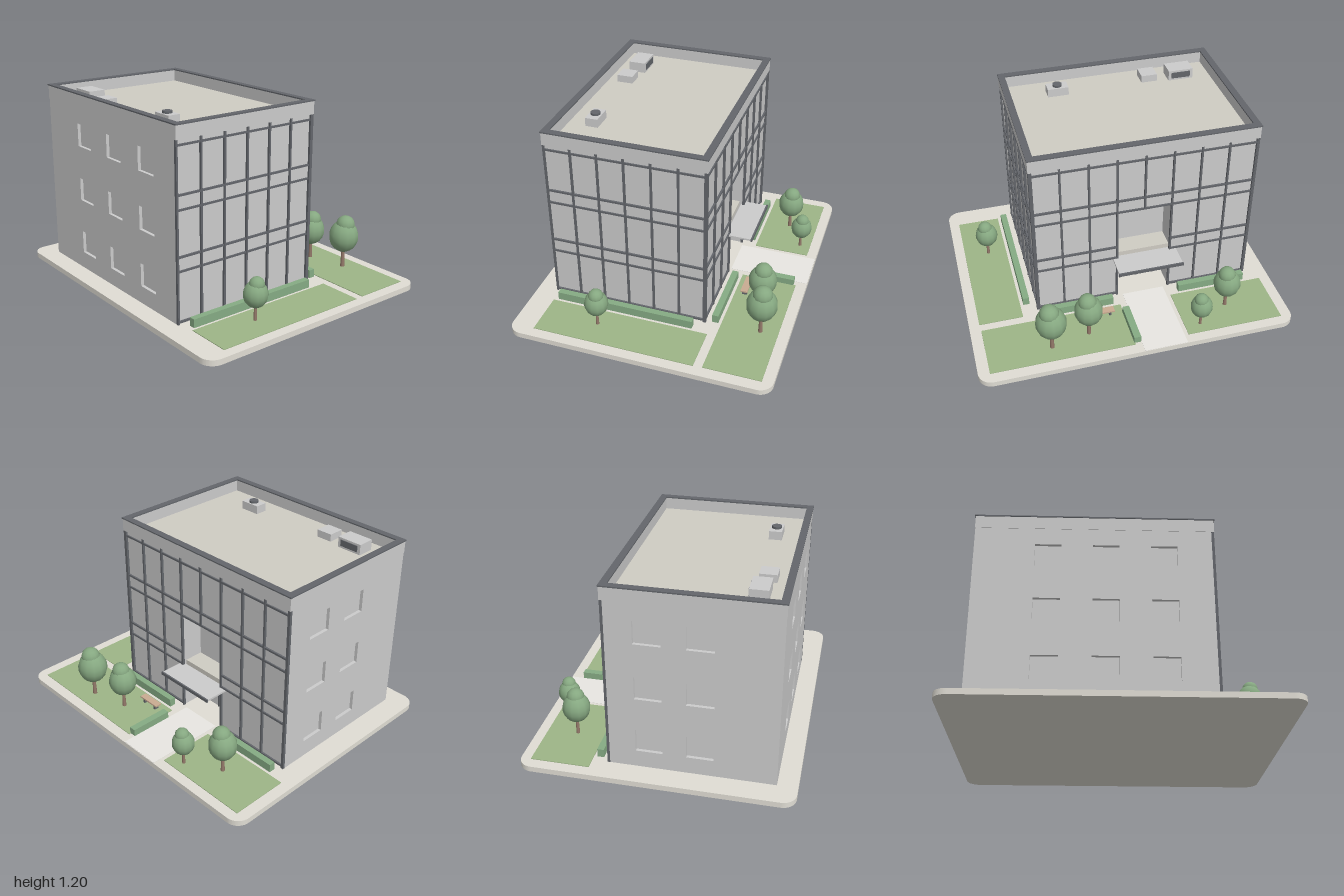
import * as THREE from 'three';

const mat = (color, extra = {}) => new THREE.MeshStandardMaterial({ color, ...extra });
const M = {
  grey: mat(0xcccccc), dark: mat(0x63666b), paving: mat(0xe0ddd4), path: mat(0xe8e6e2),
  roof: mat(0xcfccc3), lawn: mat(0x9db587), hedge: mat(0x86ab84), leaf: mat(0x86a881),
  trunk: mat(0x94796a), wood: mat(0xc9ab92),
};
const GROUND = 0.035, TOP = 1.12;
const X0 = -0.855, X1 = 0.555, Z0 = -0.305, Z1 = 0.7; // building footprint
const NX0 = -0.322, NX1 = 0.026, NZ = -0.145, NY = 0.715; // entrance recess

function add(parent, name, geo, material) {
  const m = new THREE.Mesh(geo, material);
  m.name = name;
  parent.add(m);
  return m;
}

// box given by its minimum and maximum on each axis
function box(parent, name, x0, x1, y0, y1, z0, z1, material = M.grey) {
  const m = add(parent, name, new THREE.BoxGeometry(x1 - x0, y1 - y0, z1 - z0), material);
  m.position.set((x0 + x1) / 2, (y0 + y1) / 2, (z0 + z1) / 2);
  return m;
}

function group(parent, name) {
  const g = new THREE.Group();
  g.name = name;
  parent.add(g);
  return g;
}

function rect(Type, x0, x1, y0, y1) {
  return new Type([[x0, y0], [x1, y0], [x1, y1], [x0, y1]].map(p => new THREE.Vector2(...p)));
}

// plan outline (x, -z) raised along y
function raisePlan(shape, y0, y1, curveSegments = 8) {
  const g = new THREE.ExtrudeGeometry(shape, { depth: y1 - y0, bevelEnabled: false, curveSegments });
  return g.rotateX(-Math.PI / 2).translate(0, y0, 0);
}

// wall with window holes, lying in the xy plane, outer face toward +z
function windowWall(u0, u1, columns, width) {
  const shape = rect(THREE.Shape, u0, u1, GROUND, TOP);
  for (const u of columns) for (const y of [0.145, 0.503, 0.86])
    shape.holes.push(rect(THREE.Path, u, u + width, y, y + 0.145));
  return new THREE.ExtrudeGeometry(shape, { depth: 0.02, bevelEnabled: false });
}

function buildSite(root) {
  const site = group(root, 'site');
  const w = 1, d = 0.823, r = 0.085, s = new THREE.Shape();
  s.absarc(w - r, d - r, r, 0, Math.PI / 2);
  s.absarc(-w + r, d - r, r, Math.PI / 2, Math.PI);
  s.absarc(-w + r, -d + r, r, Math.PI, Math.PI * 1.5);
  s.absarc(w - r, -d + r, r, Math.PI * 1.5, Math.PI * 2);
  add(site, 'pavedBase', raisePlan(s, 0, GROUND), M.paving);
  box(site, 'entrancePath', -0.285, -0.01, GROUND, 0.037, -0.82, -0.31, M.path);
  for (const [x0, x1, z0, z1] of [[-0.93, -0.31, -0.76, -0.4], [0.03, 0.93, -0.755, -0.4], [0.655, 0.935, -0.345, 0.675]])
    box(site, 'lawn', x0, x1, GROUND, 0.039, z0, z1, M.lawn);
  for (const [x0, x1, z0, z1, h] of [[-0.82, -0.37, -0.38, -0.34, 0.088], [0.07, 0.535, -0.38, -0.34, 0.088],
    [-0.008, 0.036, -0.74, -0.465, 0.08], [0.595, 0.635, -0.24, 0.65, 0.088]])
    box(site, 'hedge', x0, x1, GROUND, h, z0, z1, M.hedge);

  const bench = group(site, 'bench');
  box(bench, 'benchSeat', 0.09, 0.245, 0.07, 0.08, -0.485, -0.44, M.wood);
  for (const x of [0.11, 0.21]) box(bench, 'benchLeg', x, x + 0.014, GROUND, 0.07, -0.478, -0.447, M.dark);

  for (const [x, z, k] of [[-0.62, -0.57, 0.9], [-0.41, -0.69, 0.72], [0.285, -0.59, 0.93], [0.53, -0.645, 1], [0.775, 0.32, 0.77]]) {
    const tree = group(site, 'tree');
    tree.position.set(x, GROUND, z);
    tree.scale.setScalar(k);
    add(tree, 'trunk', new THREE.CylinderGeometry(0.009, 0.014, 0.16, 8), M.trunk).position.y = 0.08;
    const crown = add(tree, 'crown', new THREE.SphereGeometry(0.096, 12, 9), M.leaf);
    crown.scale.y = 1.1;
    crown.position.y = 0.215;
    add(tree, 'crownTop', new THREE.SphereGeometry(0.061, 12, 9), M.leaf).position.set(0.008, 0.294, -0.004);
  }
}

function buildBody(root) {
  const body = group(root, 'building');
  // glazed core: notched plan for the lower floors, plain above
  const x0 = X0 + 0.02, x1 = X1 - 0.014, z0 = Z0 + 0.014, z1 = Z1 - 0.02;
  const plan = new THREE.Shape([[x0, z1], [x1, z1], [x1, z0], [NX1, z0], [NX1, NZ], [NX0, NZ], [NX0, z0], [x0, z0]]
    .map(([x, z]) => new THREE.Vector2(x, -z)));
  add(body, 'lowerFloors', raisePlan(plan, GROUND, NY), M.grey);
  box(body, 'upperFloor', x0, x1, NY, 1.11, z0, z1);

  // masonry walls with recessed windows
  add(body, 'frontWall', windowWall(X0, X1 - 0.012, [-0.5, -0.16, 0.18], 0.155), M.grey).position.z = z1;
  const side = add(body, 'sideWall', windowWall(Z0 + 0.014, z1, [-0.13, 0.17], 0.16), M.grey);
  side.rotation.y = -Math.PI / 2;
  side.position.x = x0;

  // parapet ring, dark coping and roof deck
  const ring = (a, b, inset) => {
    const s = rect(THREE.Shape, X0 - a, X1 + a, -Z1 - a, -Z0 + a);
    s.holes.push(rect(THREE.Path, X0 + inset, X1 - inset, -Z1 + inset, -Z0 - inset));
    return s;
  };
  add(body, 'parapet', raisePlan(ring(0.002, 0, 0.035), TOP - 0.008, 1.193), M.grey);
  add(body, 'coping', raisePlan(ring(0.006, 0, 0.037), 1.192, 1.2), M.dark);
  box(body, 'roofDeck', X0 + 0.03, X1 - 0.03, 1.108, 1.118, Z0 + 0.03, Z1 - 0.03, M.roof);
}

function buildCurtainWalls(root) {
  const frame = group(root, 'curtainWalls');
  const levels = [0.048, 0.355, 0.44, NY, 0.8, 1.08], t = 0.006;
  // side facade
  const zs = Array.from({ length: 7 }, (_, i) => 0.695 - i * 0.165);
  for (const z of zs) box(frame, 'sideMullion', X1 - 0.016, X1, GROUND, TOP, z - t, z + t, M.dark);
  for (const y of levels) box(frame, 'sideTransom', X1 - 0.016, X1 - 0.002, y - t, y + t, Z0, Z1, M.dark);
  // back facade, broken by the entrance recess
  for (let i = 0; i <= 8; i++) {
    const x = 0.548 - i * 0.174;
    box(frame, 'backMullion', x - t, x + t, i === 4 ? NY : GROUND, TOP, Z0, Z0 + 0.016, M.dark);
  }
  for (const y of levels) {
    const spans = y < NY ? [[X0, NX0], [NX1, X1]] : [[X0, X1]];
    for (const [a, b] of spans) box(frame, 'backTransom', a, b, y - t, y + t, Z0 + 0.002, Z0 + 0.016, M.dark);
  }
  // spandrel panels between paired transoms
  for (const [a, b] of [[0.355, 0.44], [NY, 0.8], [1.08, 1.11]]) {
    box(frame, 'sideSpandrel', X1 - 0.016, X1 - 0.011, a, b, -0.285, 0.68);
    const spans = a < NY ? [[X0 + 0.02, NX0], [NX1, X1 - 0.02]] : [[X0 + 0.02, X1 - 0.02]];
    for (const [p, q] of spans) box(frame, 'backSpandrel', p, q, a, b, Z0 + 0.011, Z0 + 0.016);
  }
  // corner posts
  box(frame, 'cornerPost', X1 - 0.02, X1 + 0.001, GROUND, TOP, Z0 - 0.001, Z0 + 0.02, M.dark);
  box(frame, 'cornerPost', X0 - 0.001, X0 + 0.012, GROUND, TOP, Z0 - 0.001, Z0 + 0.015, M.dark);
}

function buildEntrance(root) {
  const e = group(root, 'entrance');
  box(e, 'canopy', -0.362, 0.052, 0.338, 0.35, -0.45, -0.28);
  box(e, 'canopyEdge', -0.365, 0.055, 0.334, 0.354, -0.456, -0.446, M.dark);
  box(e, 'recessLedge', NX0, NX1, 0.34, 0.372, -0.27, NZ, M.roof);
  // door frame on the recess back wall
  for (const x of [-0.26, -0.148, -0.036]) box(e, 'doorPost', x - 0.004, x + 0.004, GROUND, 0.26, NZ - 0.008, NZ, M.dark);
  box(e, 'doorHead', -0.264, -0.032, 0.26, 0.268, NZ - 0.008, NZ, M.dark);
}

function buildRoofUnits(root) {
  const units = group(root, 'roofUnits');
  const y = 1.117;
  box(units, 'largeUnit', -0.7, -0.535, y, 1.185, 0.475, 0.585);
  box(units, 'largeUnitGrille', -0.68, -0.555, y + 0.015, 1.172, 0.471, 0.476, M.dark);
  box(units, 'smallUnit', -0.46, -0.355, y, 1.165, 0.495, 0.6);
  box(units, 'fanUnit', 0.14, 0.275, y, 1.172, 0.47, 0.55);
  add(units, 'fan', new THREE.CylinderGeometry(0.03, 0.03, 0.014, 20), M.dark).position.set(0.207, 1.179, 0.51);
}

export function createModel() {
  const root = new THREE.Group();
  root.name = 'officeBuilding';
  buildSite(root);
  buildBody(root);
  buildCurtainWalls(root);
  buildEntrance(root);
  buildRoofUnits(root);
  return root;
}
